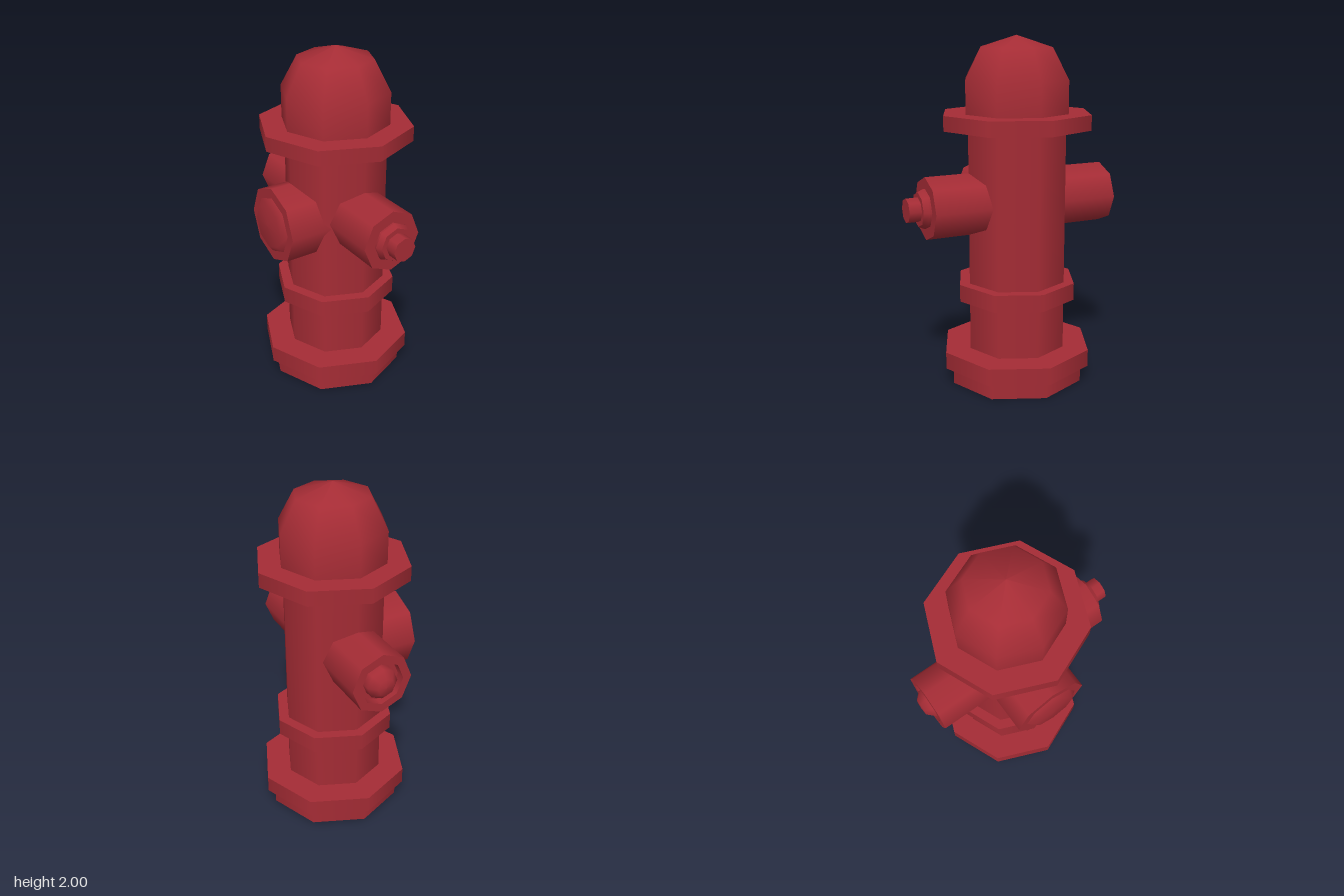
import * as THREE from 'three';
import { mergeGeometries } from 'three/addons/utils/BufferGeometryUtils.js';

const SIDES = 8;
const red = new THREE.MeshStandardMaterial({ color: 0xa52c35 });

// Eight-sided turned shape, smooth along the whole [radius, height] profile
const smoothTurn = (profile) =>
  new THREE.LatheGeometry(profile.map(([r, y]) => new THREE.Vector2(r, y)), SIDES);

// Eight-sided turned shape with a sharp edge at every profile point
const sharpTurn = (profile) =>
  mergeGeometries(profile.slice(1).map((p, i) => smoothTurn([profile[i], p])));

// Solid disc or drum between two heights
const drum = (r, y0, y1) => sharpTurn([[0, y0], [r, y0], [r, y1], [0, y1]]);

function add(parent, name, geometry) {
  const mesh = new THREE.Mesh(geometry, red);
  mesh.name = name;
  parent.add(mesh);
}

// Group whose y axis points sideways out of the barrel, at the given yaw
function outlet(parent, name, y, yaw) {
  const pivot = new THREE.Group();
  pivot.name = name;
  pivot.position.y = y;
  pivot.rotation.set(Math.PI / 2, yaw, 0, 'YXZ');
  parent.add(pivot);
  return pivot;
}

export function createModel() {
  const model = new THREE.Group();
  model.name = 'fireHydrant';
  const hydrant = new THREE.Group();
  hydrant.name = 'hydrantBody';
  hydrant.position.set(0.025, 0, -0.035);
  hydrant.rotation.y = THREE.MathUtils.degToRad(20.5);
  model.add(hydrant);

  // Upright barrel with its rings
  add(hydrant, 'base', drum(0.403, 0, 0.1));
  add(hydrant, 'baseFlange', drum(0.448, 0.1, 0.2));
  add(hydrant, 'barrel', drum(0.294, 0.2, 1.49));
  add(hydrant, 'barrelRing', drum(0.355, 0.5, 0.6));
  add(hydrant, 'topFlange', drum(0.438, 1.49, 1.575));
  add(hydrant, 'bonnet', smoothTurn([[0.307, 1.575], [0.307, 1.76], [0.213, 1.935], [0, 2]]));

  // Front nozzle with a stepped cap and nut
  const front = outlet(hydrant, 'frontNozzle', 1.07, 0);
  add(front, 'frontPipe', drum(0.178, 0.1, 0.552));
  add(front, 'frontCap', sharpTurn([[0.113, 0.55], [0.113, 0.563], [0.098, 0.595], [0, 0.595]]));
  add(front, 'frontNut', drum(0.069, 0.59, 0.664));

  // Back nozzle with a rounded plug in a recess
  const back = outlet(hydrant, 'backNozzle', 1.07, Math.PI);
  add(back, 'backPipe', sharpTurn([
    [0, 0.1], [0.178, 0.1], [0.178, 0.553], [0.128, 0.553], [0.128, 0.5], [0, 0.5],
  ]));
  add(back, 'backPlug', smoothTurn([[0.092, 0.5], [0.09, 0.555], [0.05, 0.594], [0, 0.598]]));

  // Large side outlet with a shallow domed cover
  const side = outlet(hydrant, 'sideOutlet', 1.04, -Math.PI / 2);
  add(side, 'sidePipe', drum(0.223, 0.1, 0.418));
  add(side, 'sideCover', smoothTurn([[0.168, 0.417], [0.13, 0.447], [0, 0.452]]));

  return model;
}
